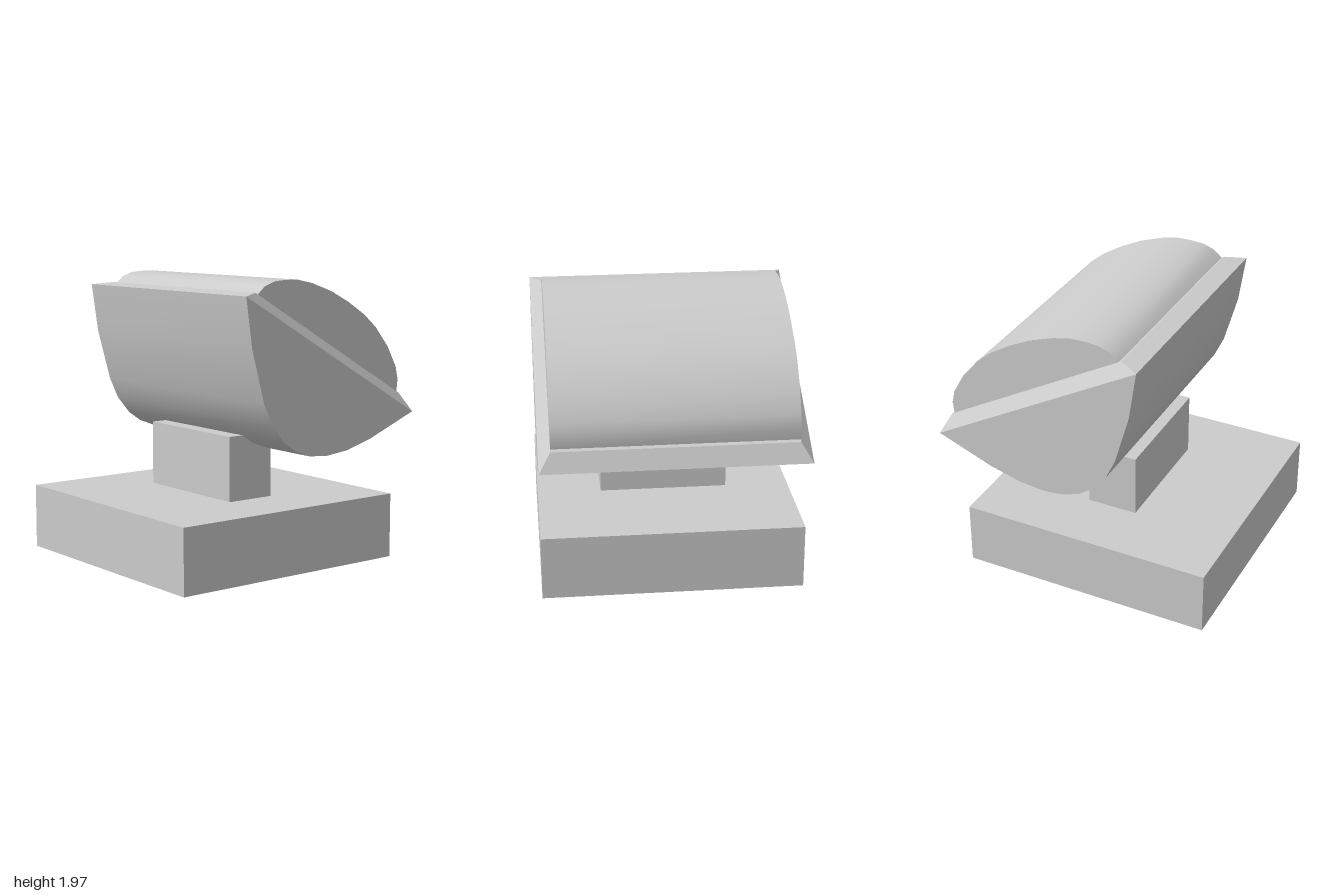
import * as THREE from 'three';
import { toCreasedNormals } from 'three/addons/utils/BufferGeometryUtils.js';
import { ConvexGeometry } from 'three/addons/geometries/ConvexGeometry.js';

const material = new THREE.MeshStandardMaterial({ color: 0xcccccc });

function part(name, geometry) {
  const mesh = new THREE.Mesh(geometry, material);
  mesh.name = name;
  return mesh;
}

function box(name, x0, x1, y0, y1, halfDepth) {
  const mesh = part(name, new THREE.BoxGeometry(x1 - x0, y1 - y0, halfDepth * 2));
  mesh.position.set((x0 + x1) / 2, (y0 + y1) / 2, 0);
  return mesh;
}

// Profile in x, y pulled along z, smooth around the curve and sharp at the ends
function prism(name, profile, halfDepth) {
  const shape = new THREE.Shape(profile.map(([x, y]) => new THREE.Vector2(x, y)));
  const geometry = new THREE.ExtrudeGeometry(shape, { depth: halfDepth * 2, bevelEnabled: false });
  geometry.translate(0, 0, -halfDepth);
  return part(name, toCreasedNormals(geometry, 0.7));
}

export function createModel() {
  const model = new THREE.Group();
  model.name = 'tiltedHeadOnStand';

  // Stand
  model.add(box('base', -1, 0.8, 0, 0.45, 0.9));
  model.add(box('neck', -0.28, 0.08, 0.45, 0.9, 0.45));

  // Tilted head: rounded lower shell, chamfered rim, domed cover
  const head = new THREE.Group();
  head.name = 'head';
  const rimHigh = [-0.5, 1.88], rimLow = [1, 1.015];
  const topHigh = [-0.36, 1.895], topLow = [0.94, 1.145];

  head.add(prism('lowerShell', [
    rimHigh, [-0.45, 1.54], [-0.35, 1.18], [-0.28, 1.03], [-0.18, 0.91], [-0.08, 0.84],
    [0.04, 0.795], [0.19, 0.78], [0.38, 0.8], [0.6, 0.86], rimLow,
  ], 0.9));

  const corners = [];
  for (const [points, z] of [[[rimHigh, rimLow], 0.9], [[topHigh, topLow], 0.82]]) {
    for (const [x, y] of points) {
      for (const side of [-1, 1]) corners.push(new THREE.Vector3(x, y, z * side));
    }
  }
  head.add(part('chamferedRim', new ConvexGeometry(corners)));

  head.add(prism('domedCover', [
    [-0.34, 1.884], [-0.28, 1.935], [-0.2, 1.963], [-0.1, 1.97], [0, 1.968], [0.13, 1.94],
    [0.3, 1.88], [0.45, 1.805], [0.6, 1.712], [0.71, 1.62], [0.83, 1.475], [0.91, 1.33],
    [0.93, 1.24], [0.92, 1.157],
  ], 0.82));

  model.add(head);
  return model;
}
